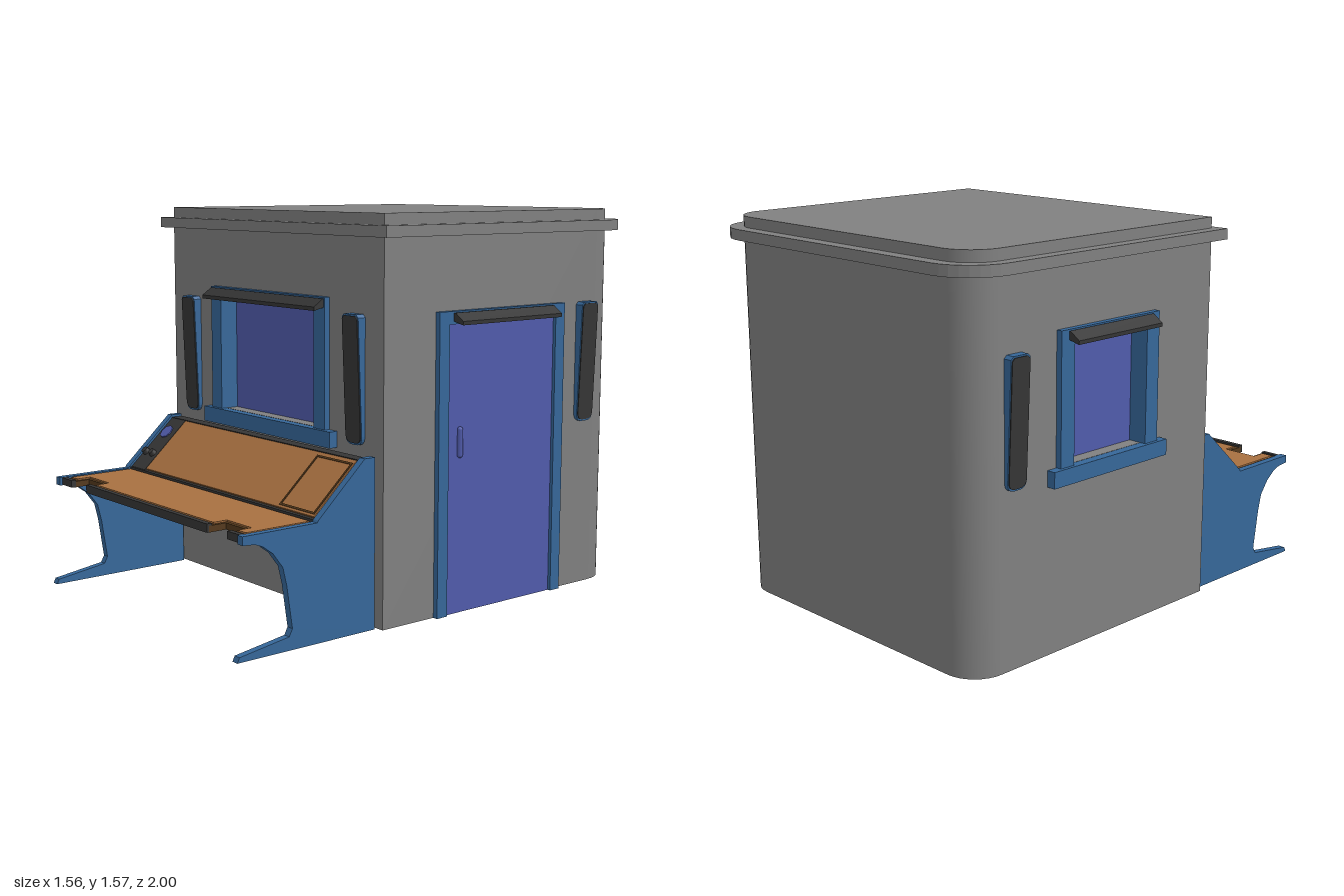
import * as THREE from 'three';

const mat = (name, color, side = THREE.FrontSide) =>
  Object.assign(new THREE.MeshStandardMaterial({ color, side }), { name });

export function createModel() {
  const grey = mat('wall grey', 0x808080, THREE.DoubleSide);
  const blue = mat('frame blue', 0x366799);
  const violet = mat('panel violet', 0x505bab);
  const orange = mat('desk orange', 0xa87040);
  const brown = mat('edge brown', 0x54391c);
  const dark = mat('trim dark', 0x363636);

  const root = new THREE.Group();
  root.name = 'booth';

  const add = (parent, name, geo, m, x = 0, y = 0, z = 0) => {
    const mesh = new THREE.Mesh(geo, m);
    mesh.name = name;
    mesh.position.set(x, y, z);
    parent.add(mesh);
    return mesh;
  };
  const box = (p, name, m, w, h, d, x, y, z) => add(p, name, new THREE.BoxGeometry(w, h, d), m, x, y, z);
  const group = (name, x, y, z, ry = 0) => {
    const g = new THREE.Group();
    g.name = name;
    g.position.set(x, y, z);
    g.rotation.y = ry;
    root.add(g);
    return g;
  };
  const poly = pts => new THREE.Shape(pts.map(p => new THREE.Vector2(...p)));
  const rect = (x0, y0, x1, y1) => [[x0, y0], [x1, y0], [x1, y1], [x0, y1]];
  const extrude = (shape, depth, curveSegments = 6) =>
    new THREE.ExtrudeGeometry(shape, { depth, bevelEnabled: false, curveSegments });
  // (z, y) profile swept along x, centred
  const sweepX = (shape, w) => extrude(shape, w).translate(0, 0, -w / 2).rotateY(-Math.PI / 2);
  // (x, -z) plan raised along y
  const raise = (shape, h, segs) => extrude(shape, h, segs).rotateX(-Math.PI / 2);
  // plan with two rounded back corners
  const plan = (hx, front, back, r) => {
    const s = new THREE.Shape();
    s.moveTo(-hx, -front);
    s.lineTo(hx, -front);
    s.lineTo(hx, -back - r);
    s.absarc(hx - r, -back - r, r, 0, Math.PI / 2);
    s.lineTo(-hx + r, -back);
    s.absarc(-hx + r, -back - r, r, Math.PI / 2, Math.PI);
    s.closePath();
    return s;
  };

  // Hollow shell, open underneath
  const HX = 0.705, F = 0.35, B = -0.945, R = 0.14, H = 1.57;
  const WIN_Z = -0.255;
  const wall = (name, x0, x1, hole) => {
    const s = poly(rect(x0, 0, x1, H));
    if (hole) s.holes.push(poly(rect(hole[0], 0.73, hole[1], 1.2)));
    return add(root, name, new THREE.ShapeGeometry(s), grey);
  };
  wall('frontWall', -HX, HX, [-0.315, 0.315]).position.z = F;
  const left = wall('windowWall', B + R, F, [WIN_Z - 0.2, WIN_Z + 0.2]);
  left.rotation.y = -Math.PI / 2;
  left.position.x = -HX;
  const right = wall('doorWall', -F, -B - R);
  right.rotation.y = Math.PI / 2;
  right.position.x = HX;
  const back = wall('backWall', -HX + R, HX - R);
  back.rotation.y = Math.PI;
  back.position.z = B;
  for (const s of [1, -1]) {
    const start = s > 0 ? Math.PI / 2 : Math.PI;
    add(root, 'backCorner', new THREE.CylinderGeometry(R, R, H, 8, 1, true, start, Math.PI / 2),
      grey, s * (HX - R), H / 2, B + R);
  }
  add(root, 'roof', new THREE.ShapeGeometry(plan(HX, F, B, R), 8).rotateX(-Math.PI / 2), grey, 0, H, 0);
  add(root, 'cornice', raise(plan(0.757, 0.385, -1, 0.19), 0.043, 4), grey, 0, 1.483, 0);

  // Sloping hood over an opening
  const hood = (p, w, y) => add(p, 'hood', sweepX(poly(
    [[0.005, 0.02], [0.02, 0], [0.072, -0.012], [0.073, 0.003], [0.03, 0.032], [0.005, 0.032]]), w), dark, 0, y, 0);

  // Recessed window, half = half width of the glass
  const windowUnit = (name, half, hoodW, x, z, ry) => {
    const g = group(name, x, 0, z, ry);
    box(g, 'glass', violet, half * 2, 0.48, 0.01, 0, 0.965, -0.06);
    box(g, 'ledge', grey, half * 2, 0.02, 0.075, 0, 0.72, -0.0375);
    box(g, 'header', blue, half * 2 + 0.14, 0.05, 0.1, 0, 1.22, -0.025);
    for (const s of [-1, 1]) box(g, 'post', blue, 0.07, 0.465, 0.1, s * (half + 0.035), 0.9625, -0.025);
    box(g, 'sill', blue, half * 2 + 0.23, 0.064, 0.037, 0, 0.697, 0.0185);
    hood(g, hoodW, 1.207);
  };
  windowUnit('frontWindow', 0.315, 0.76, 0, F, 0);
  windowUnit('sideWindow', 0.2, 0.46, -HX, WIN_Z, -Math.PI / 2);

  // Tall wall lamps, deeper at the top
  const lampShape = (hw, y0, y1) => {
    const s = new THREE.Shape();
    const r = hw * 0.75, t = 0.012;
    s.moveTo(-hw, y0 + r);
    s.quadraticCurveTo(-hw, y0, -hw + r, y0);
    s.lineTo(hw - r, y0);
    s.quadraticCurveTo(hw, y0, hw, y0 + r);
    s.lineTo(hw, y1 - t);
    s.lineTo(hw - t, y1);
    s.lineTo(-hw + t, y1);
    s.lineTo(-hw, y1 - t);
    s.closePath();
    return s;
  };
  const taper = geo => {
    const p = geo.attributes.position;
    for (let i = 0; i < p.count; i++) {
      if (p.getZ(i) > 0) p.setZ(i, p.getZ(i) - 0.02 * (1.19 - p.getY(i)) / 0.49);
    }
    geo.computeVertexNormals();
    return geo;
  };
  const lamp = (x, z, ry) => {
    const g = group('wallLamp', x, 0, z, ry);
    add(g, 'lampHousing', taper(extrude(lampShape(0.048, 0.695, 1.193), 0.055).translate(0, 0, -0.02)), blue);
    add(g, 'lampFace', taper(extrude(lampShape(0.044, 0.702, 1.187), 0.008).translate(0, 0, 0.031)), dark);
  };
  lamp(-0.55, F, 0);
  lamp(0.55, F, 0);
  lamp(HX, -0.74, Math.PI / 2);
  lamp(-HX, -0.74, -Math.PI / 2);

  // Door
  const door = group('door', HX, 0, -0.255, Math.PI / 2);
  box(door, 'doorPanel', violet, 0.59, 1.145, 0.008, 0, 0.5725, 0.004);
  for (const s of [-1, 1]) box(door, 'doorPost', blue, 0.052, 1.195, 0.06, s * 0.319, 0.5975, -0.008);
  box(door, 'doorHeader', blue, 0.59, 0.05, 0.06, 0, 1.17, -0.008);
  hood(door, 0.545, 1.157);
  add(door, 'handle', new THREE.CapsuleGeometry(0.012, 0.1, 3, 8), violet, -0.225, 0.683, 0.012);

  // Console side legs
  const leg = poly([[0.365, 0], [1, 0], [0.99, 0.02], [0.77, 0.052], [0.755, 0.08], [0.78, 0.245],
    [0.797, 0.315], [0.84, 0.372], [0.885, 0.405], [0.92, 0.418], [0.973, 0.422], [0.973, 0.455],
    [0.64, 0.455], [0.635, 0.463], [0.415, 0.665], [0.365, 0.665]]);
  for (const s of [-1, 1]) add(root, 'consoleLeg', sweepX(leg, 0.03), blue, s * 0.66, 0, 0);

  // Desk top with two notches in the front edge
  const deskPlan = (hx, z0, z1, n0, n1, nz) => poly([[-hx, -z1], [-n1, -z1], [-n1, -nz], [-n0, -nz],
    [-n0, -z1], [n0, -z1], [n0, -nz], [n1, -nz], [n1, -z1], [hx, -z1], [hx, -z0], [-hx, -z0]]);
  add(root, 'deskSlab', raise(deskPlan(0.645, 0.61, 0.955, 0.44, 0.565, 0.88), 0.025), brown, 0, 0.423, 0);
  add(root, 'deskSurface', raise(deskPlan(0.63, 0.64, 0.925, 0.425, 0.58, 0.865), 0.006), orange, 0, 0.448, 0);
  box(root, 'deskFrontTrim', dark, 0.88, 0.033, 0.022, 0, 0.44, 0.953);
  for (const s of [-1, 1]) box(root, 'deskEndTrim', dark, 0.08, 0.03, 0.02, s * 0.605, 0.439, 0.952);
  box(root, 'bendStrip', dark, 1.29, 0.02, 0.02, 0, 0.45, 0.622);
  box(root, 'consoleTop', dark, 1.29, 0.02, 0.05, 0, 0.645, 0.39);

  // Sloping instrument panel
  const panel = group('instrumentPanel', 0, 0.452, 0.627);
  panel.rotation.x = -0.833;
  box(panel, 'panelBack', brown, 1.29, 0.297, 0.02, 0, 0.1485, -0.012);
  box(panel, 'panelSurface', orange, 1.165, 0.275, 0.008, 0.047, 0.153, 0.002);
  box(panel, 'controlPlate', dark, 0.105, 0.285, 0.008, -0.591, 0.15, 0.002);
  add(panel, 'screen', new THREE.CylinderGeometry(0.033, 0.033, 0.006, 8).rotateX(Math.PI / 2), violet, -0.6, 0.215, 0.008);
  for (const x of [-0.625, -0.572]) {
    add(panel, 'knob', new THREE.CylinderGeometry(0.014, 0.018, 0.02, 10).rotateX(Math.PI / 2), dark, x, 0.095, 0.014);
  }
  // Outlined hatch
  const hatch = poly(rect(0.408, 0.025, 0.622, 0.275));
  hatch.holes.push(poly(rect(0.416, 0.033, 0.614, 0.267)));
  add(panel, 'hatchOutline', extrude(hatch, 0.004), brown, 0, 0, 0.005);

  return root;
}
